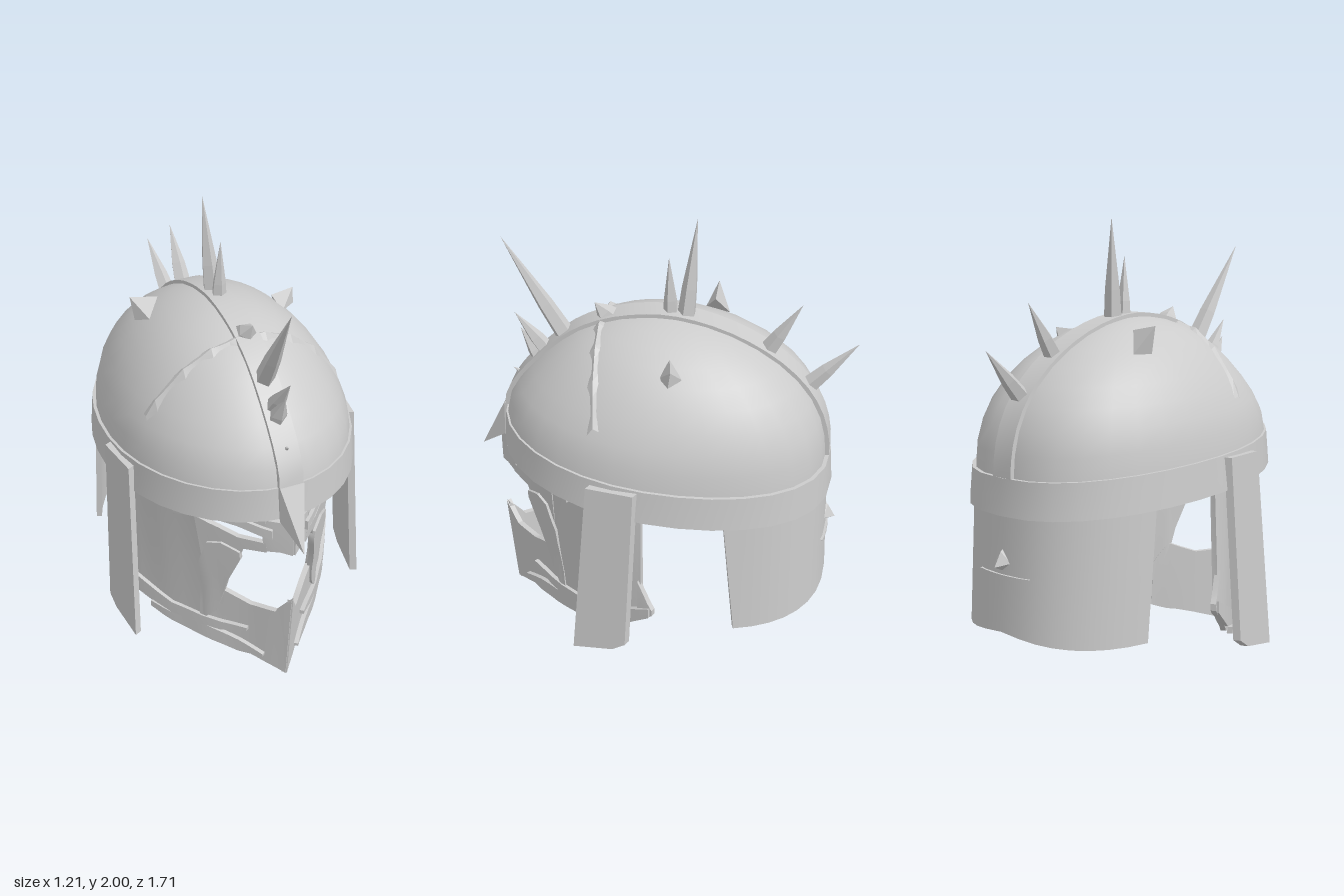
import * as THREE from 'three';
import { toCreasedNormals } from 'three/addons/utils/BufferGeometryUtils.js';
import { ConvexGeometry } from 'three/addons/geometries/ConvexGeometry.js';

const V = (x, y, z) => new THREE.Vector3(x, y, z);
const material = new THREE.MeshStandardMaterial({ color: 0xcccccc, side: THREE.DoubleSide });
const facetedMaterial = new THREE.MeshStandardMaterial({ color: 0xcccccc, flatShading: true });

// Egg-shaped outline of the helmet; angle 0 is the front
function rim(a) {
  const s = Math.sin(a), c = Math.cos(a);
  const w = c < 0 ? Math.sign(s) * Math.abs(s) ** 0.8 : s;
  return [0.535 * w, c * (c < 0 ? 0.745 : 0.708)];
}

// Wedge-shaped outline of the face mask; it narrows towards the chin and flares at the jaw
const maskPlan = [[0.76, 0], [0.68, 0.1], [0.58, 0.2], [0.45, 0.33], [0.28, 0.43], [0.12, 0.485], [-0.06, 0.51]];
function maskX(z, y) {
  const i = Math.max(1, maskPlan.findIndex(([pz]) => z >= pz));
  const [z0, x0] = maskPlan[i - 1], [z1, x1] = maskPlan[i];
  const taper = 1 + (0.14 - 1.3 * z) * (0.8 - Math.min(0.8, Math.max(y, 0.35)));
  return (x0 + (x1 - x0) * (z0 - z) / (z0 - z1)) * taper;
}

function quadMesh(quads, crease) {
  const pos = [];
  for (const [a, b, c, d] of quads) for (const p of [a, b, c, a, c, d]) pos.push(p.x, p.y, p.z);
  const g = new THREE.BufferGeometry();
  g.setAttribute('position', new THREE.Float32BufferAttribute(pos, 3));
  return toCreasedNormals(g, crease);
}

// Thick curved sheet standing on plan(s, y); stations are [s, low y, high y]
function shell(plan, stations, { off = 0, thick = 0.025, flare = 0, steps = 3 } = {}) {
  const sections = [];
  const at = (s, y, o) => {
    const [x, z] = plan(s, y), [xa, za] = plan(s - 0.01, y), [xb, zb] = plan(s + 0.01, y);
    const n = V(zb - za, 0, xa - xb).normalize();
    if (n.x * x + n.z * z < 0) n.negate();
    return V(x, y, z).addScaledVector(n, o + flare * (0.8 - y));
  };
  const section = (s, lo, hi) => {
    const mid = (lo + hi) / 2, inner = off - thick;
    sections.push([at(s, lo, off), at(s, mid, off), at(s, hi, off), at(s, hi, inner), at(s, mid, inner), at(s, lo, inner)]);
  };
  stations.forEach((b, i) => {
    if (i === 0) return section(...b);
    const a = stations[i - 1];
    for (let k = 1; k <= steps; k++) section(...a.map((v, j) => v + (b[j] - v) * k / steps));
  });
  const quads = [];
  for (const [a, b, c, d, e, f] of [sections[0], sections[sections.length - 1]]) quads.push([a, b, e, f], [b, c, d, e]);
  for (let i = 1; i < sections.length; i++) {
    const p = sections[i - 1], q = sections[i];
    for (let j = 0; j < 6; j++) quads.push([p[j], q[j], q[(j + 1) % 6], p[(j + 1) % 6]]);
  }
  return quadMesh(quads, 0.6);
}

// Dome profile: leaner at the front, fuller at the back
const domePower = (a, c) => 1.1 + (0.35 + 0.6 * Math.cos(a)) * c ** 4;
function domePoint(a, phi) {
  const [x, z] = rim(a), c = Math.max(0, Math.cos(phi)), r = c ** domePower(a, c), base = 0.99 + 0.083 * z;
  return V(x * r, base + (1.567 - base) * Math.sin(phi), z * r);
}

// Height of the dome over a point of its front half
function domeY(x, z) {
  const a = Math.atan2(x / 0.535, z / 0.708), r = Math.min(1, Math.hypot(x / 0.535, z / 0.708));
  let c = r;
  for (let i = 0; i < 10; i++) c = r ** (1 / domePower(a, c));
  return domePoint(a, Math.acos(c)).y;
}

export function createModel() {
  const group = new THREE.Group();
  const add = (name, geometry, mat = material) => {
    const m = new THREE.Mesh(geometry, mat);
    m.name = name;
    group.add(m);
    return m;
  };

  // Dome
  const quads = [], N = 32, M = 10;
  for (let i = 0; i < N; i++) for (let j = 0; j < M; j++) {
    const p = (u, v) => domePoint(u / N * Math.PI * 2, v / M * Math.PI / 2);
    quads.push([p(i, j), p(i + 1, j), p(i + 1, j + 1), p(i, j + 1)]);
  }
  add('dome', quadMesh(quads, 0.7));

  // Tilted brow band
  const bandStations = [];
  for (let i = 0; i <= 32; i++) {
    const a = i / 32 * Math.PI * 2, z = rim(a)[1];
    bandStations.push([a, 0.838 + 0.088 * z, 0.993 + 0.083 * z]);
  }
  add('browBand', shell(rim, bandStations, { off: 0.028, thick: 0.03, flare: 0.08, steps: 1 }));

  // Pointed peak at the front of the band
  add('browPeak', new ConvexGeometry([V(0, 0.79, 0.855), V(0, 0.89, 0.69), V(0.055, 0.89, 0.73), V(-0.055, 0.89, 0.73),
    V(0.055, 1.055, 0.725), V(-0.055, 1.055, 0.725), V(0.055, 1.055, 0.7), V(-0.055, 1.055, 0.7)]), facetedMaterial);

  // Flat crest strip running over the dome from front to back
  const arc = (lift) => {
    const pts = [];
    for (let i = 0; i <= 28; i++) {
      const t = i / 28 * Math.PI, p = t < Math.PI / 2 ? domePoint(0, t) : domePoint(Math.PI, Math.PI - t);
      pts.push(new THREE.Vector2(-p.z - lift * Math.cos(t), p.y + lift * Math.sin(t)));
    }
    return pts;
  };
  const crest = new THREE.ExtrudeGeometry(new THREE.Shape([...arc(0.013), ...arc(-0.03).reverse()]),
    { depth: 0.11, bevelEnabled: false });
  crest.translate(0, 0, -0.055).rotateY(Math.PI / 2);
  add('crestStrip', toCreasedNormals(crest, 0.5));

  // Jagged seam across the front of the dome, bowed forward in the middle
  const seam = [];
  const seamRow = (i) => {
    const x = -0.45 + i / 22 * 0.9, z = 0.27 - 0.2 * x * x, w = i % 3 === 1 ? 0.035 : 0.015;
    const lift = i % 3 === 1 ? 0.02 : 0.01;
    return [V(x, domeY(x, z - 0.03) - 0.01, z - 0.03), V(x, domeY(x, z) + lift, z), V(x, domeY(x, z + w) - 0.01, z + w)];
  };
  for (let i = 0; i < 22; i++) {
    const p = seamRow(i), q = seamRow(i + 1);
    seam.push([p[0], p[1], q[1], q[0]], [p[1], p[2], q[2], q[1]]);
  }
  add('domeSeam', quadMesh(seam, 0.2));

  // Spikes: base, tip, base radius
  const spike = (name, base, tip, r, sides = 5) => {
    const dir = tip.clone().sub(base), len = dir.length();
    const m = add(name, new THREE.ConeGeometry(r, len, sides, 3), facetedMaterial);
    const p = m.geometry.attributes.position;
    for (let i = 0; i < p.count; i++) {
      const bulge = 1 + 0.25 * Math.sin((p.getY(i) / len + 0.5) * Math.PI);
      p.setX(i, p.getX(i) * bulge);
      p.setZ(i, p.getZ(i) * bulge);
    }
    m.quaternion.setFromUnitVectors(V(0, 1, 0), dir.normalize());
    m.position.copy(base).add(tip).multiplyScalar(0.5);
  };
  for (const [bz, by, tx, tz, ty, r] of [
    [0.43, 1.4, -0.02, 0.71, 1.86, 0.045], [0.53, 1.33, 0.01, 0.66, 1.51, 0.04],
    [0.55, 1.28, 0, 0.64, 1.43, 0.045], [0.6, 1.17, 0, 0.685, 1.22, 0.025],
    [-0.1, 1.53, -0.03, -0.14, 2, 0.043], [-0.035, 1.53, 0.005, -0.025, 1.83, 0.036],
    [-0.46, 1.42, 0, -0.6, 1.65, 0.04], [-0.655, 1.27, -0.02, -0.85, 1.47, 0.04],
    [0.24, 1.52, 0.01, 0.3, 1.59, 0.05],
  ]) spike('crestSpike', V(0, by, bz), V(tx, ty, tz), r);
  spike('neckNub', V(0, 0.58, -0.73), V(0, 0.555, -0.805), 0.06, 4);

  // Torn flaps standing off the dome
  add('domeFlap', new ConvexGeometry([V(0.385, 1.495, -0.09), V(0.385, 1.42, -0.08), V(0.27, 1.49, -0.07),
    V(0.31, 1.42, -0.13), V(0.31, 1.42, -0.03)]), facetedMaterial);
  add('domeFlap', new ConvexGeometry([V(-0.35, 1.55, -0.2), V(-0.22, 1.525, -0.2), V(-0.33, 1.43, -0.2),
    V(-0.28, 1.43, -0.26), V(-0.28, 1.45, -0.15)]), facetedMaterial);

  // Neck guard, narrowing slightly towards its lower edge
  const neckPlan = (a, y) => rim(Math.PI + (a - Math.PI) * (0.943 + 0.127 * y));
  const neck = [];
  for (let i = 0; i <= 16; i++) {
    const k = i / 8 - 1;
    neck.push([Math.PI + k * 1.05, 0.27 - 0.035 * Math.sin(Math.abs(k) * 2.4), 0.83]);
  }
  add('neckGuard', shell(neckPlan, neck, { off: 0.008, flare: 0.04, steps: 1 }));
  add('neckScar', shell(rim, [[2.95, 0.52, 0.522], [3.14, 0.5, 0.52], [3.35, 0.52, 0.522]], { off: 0.018, flare: 0.04 }));

  // Mirrored parts
  for (const side of [1, -1]) {
    // Hanging side plates
    const corners = [];
    for (const [x, y, z] of [[0.575, 0.985, 0.04], [0.545, 0.985, 0.25], [0.572, 0.1, 0.325], [0.605, 0.17, 0.08], [0.598, 0.13, 0.14]])
      corners.push(V(side * x, y, z), V(side * (x - 0.03), y, z - 0.015));
    add('sidePlate', new ConvexGeometry(corners), facetedMaterial);

    // Face mask built from curved sheets around the eye and mouth openings; the chin leans back at its lower edge
    const plan = (z, y) => [side * maskX(Math.max(z, -0.06), y), z + 0.1 * (Math.min(y, 0.46) - 0.35) * Math.max(0, z)];
    const sheet = (name, stations, options) => add(name, shell(plan, stations, options));
    sheet('noseBridge', [[0.755, 0.715, 0.88], [0.72, 0.72, 0.88], [0.67, 0.71, 0.88]]);
    sheet('brow', [[0.68, 0.785, 0.89], [0.6, 0.81, 0.89], [0.5, 0.835, 0.88], [0.44, 0.815, 0.88]]);
    sheet('browRidge', [[0.7, 0.795, 0.84], [0.6, 0.825, 0.865], [0.46, 0.84, 0.87], [0.36, 0.78, 0.81]], { off: 0.015 });
    sheet('cheek', [[0.68, 0.705, 0.755], [0.6, 0.69, 0.75], [0.585, 0.64, 0.75], [0.555, 0.61, 0.765],
      [0.525, 0.5, 0.78], [0.5, 0.37, 0.79], [0.45, 0.2, 0.815]], { steps: 2 });
    sheet('cheekSide', [[0.45, 0.09, 0.88], [0.3, 0.12, 0.87], [0.15, 0.17, 0.86], [0.06, 0.25, 0.85], [0.02, 0.3, 0.84]]);
    sheet('jawCorner', [[0.03, 0.27, 0.48], [-0.02, 0.3, 0.38], [-0.04, 0.32, 0.35]], { off: 0.01 });
    sheet('chin', [[0.755, 0, 0.46], [0.7, 0.02, 0.365], [0.6, 0.05, 0.355], [0.54, 0.065, 0.38], [0.5, 0.07, 0.4], [0.44, 0.09, 0.3]]);
    sheet('cheekRidge', [[0.59, 0.63, 0.67], [0.53, 0.47, 0.7], [0.48, 0.26, 0.68], [0.44, 0.2, 0.55], [0.42, 0.21, 0.3]],
      { off: 0.012 });
    sheet('lowerMandible', [[0.67, 0.075, 0.09], [0.57, 0.06, 0.13], [0.42, 0.09, 0.17], [0.3, 0.11, 0.16], [0.2, 0.14, 0.17]],
      { off: 0.02 });
    sheet('upperMandible', [[0.6, 0.2, 0.22], [0.5, 0.16, 0.21], [0.3, 0.16, 0.22], [0.1, 0.21, 0.3], [-0.03, 0.31, 0.36]],
      { off: 0.02 });
  }
  return group;
}
